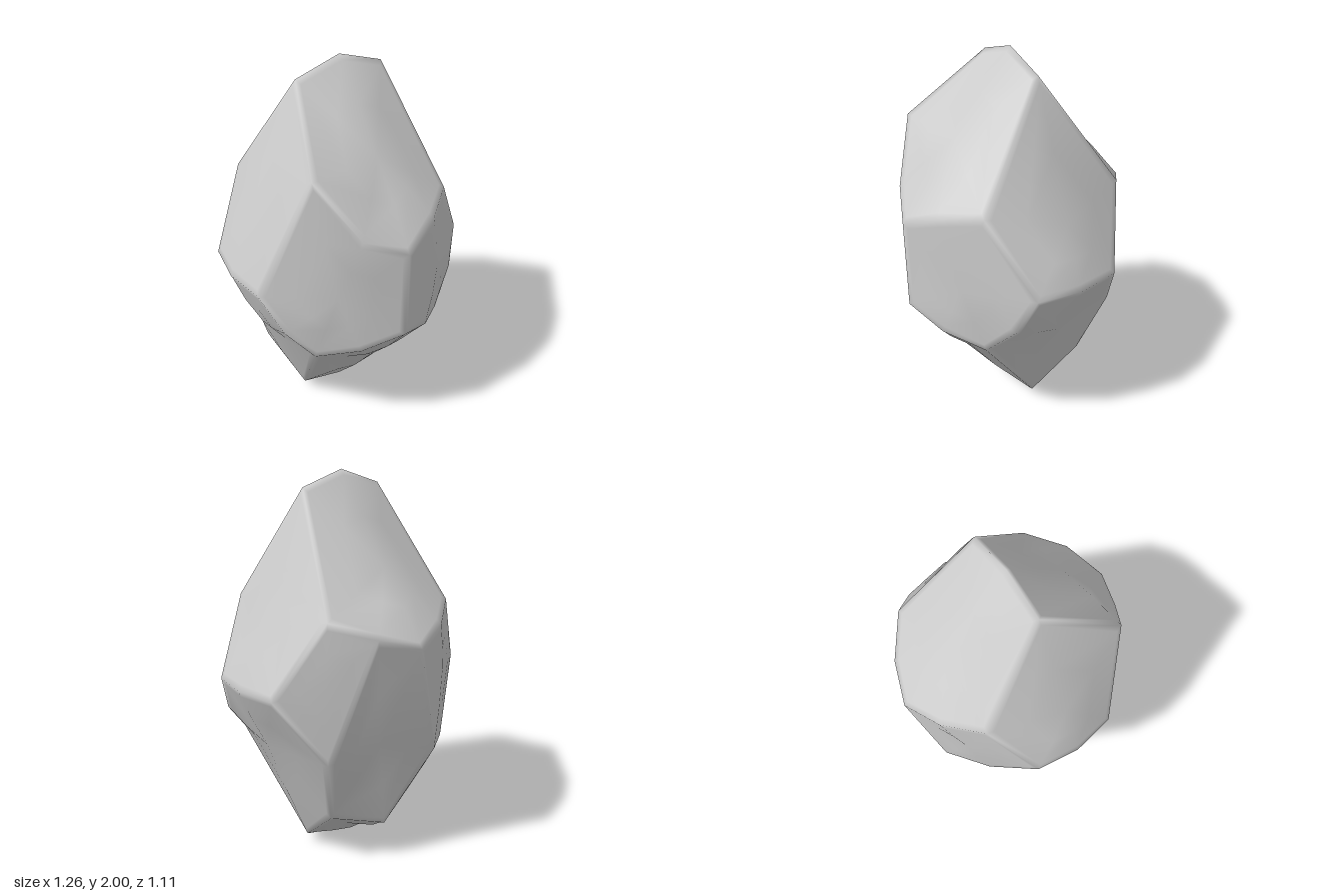
import * as THREE from 'three';

// Corners of a tall, chipped twelve-sided stone; x runs along its top ridge.
const corners = {
  // Top and bottom ridges, slightly peaked in the middle
  topMid: [0, 2, 0], topL: [-0.235, 1.925, 0], topR: [0.235, 1.925, 0],
  lowMid: [0, 0, 0], lowL: [-0.235, 0.05, 0], lowR: [0.235, 0.05, 0],

  // Belt edges at either end
  beltLF: [-0.6, 0.98, 0.225], beltL: [-0.635, 0.98, 0], beltLB: [-0.6, 0.98, -0.225],
  beltRF: [0.6, 0.98, 0.225], beltR: [0.635, 0.98, 0], beltRB: [0.595, 0.98, -0.23],
  hipL: [-0.515, 0.78, 0.325], hipR: [0.525, 0.78, 0.3],

  // Shoulders; the left front one stands higher
  shLF: [-0.375, 1.61, 0.375], shRF: [0.375, 1.36, 0.375],
  shLB: [-0.38, 1.36, -0.38], shRB: [0.38, 1.36, -0.38],

  // Lower shoulders
  footLF: [-0.38, 0.61, 0.38], footRF: [0.38, 0.61, 0.38],
  footLB: [-0.38, 0.61, -0.38], heelL: [-0.31, 0.22, -0.2],

  // Upright front edge and the bowed edges above and below it
  edgeTop: [0, 1.23, 0.61], edgeLow: [0, 0.75, 0.61],
  browL: [-0.2, 1.32, 0.525], browR: [0.2, 1.32, 0.525],
  chinL: [-0.2, 0.67, 0.525], chinR: [0.2, 0.67, 0.525],
  browBack: [-0.2, 1.29, -0.53],

  // Long chipped facet on the back
  chipTop: [0, 1.22, -0.61], chipTopR: [0.2, 1.28, -0.53],
  chipR: [0.38, 0.645, -0.38], chipLowR: [0.28, 0.28, -0.27],
  chipLow: [0.016, 0.215, -0.385], chipL: [-0.18, 0.64, -0.535],
};

// Facets as loops of corners, each with the height of its bulge
const facets = [
  ['topMid topL shLF browL edgeTop browR shRF topR', 0.03],
  ['topMid topR shRB chipTopR chipTop browBack shLB topL', 0.03],
  ['lowMid lowL footLF chinL edgeLow chinR footRF lowR', 0.035],
  ['lowMid lowR chipLowR chipLow heelL lowL', 0.04],
  ['edgeTop browL shLF beltLF hipL footLF chinL edgeLow', 0.02],
  ['edgeLow chinR footRF hipR beltRF shRF browR edgeTop', 0.025],
  ['topL shLB beltLB beltL beltLF shLF', 0.03],
  ['topR shRF beltRF beltR beltRB shRB', 0.03],
  ['lowL footLF hipL beltLF beltL beltLB footLB heelL', 0.035],
  ['lowR footRF hipR beltRF beltR beltRB chipR chipLowR', 0.025],
  ['shRB chipTopR chipR beltRB', 0.005],
  ['chipTop chipTopR chipR chipLowR chipLow chipL', 0.005],
  ['chipTop chipL footLB beltLB shLB browBack', 0.015],
  ['chipL chipLow heelL footLB', 0.005],
];

const CENTRE = new THREE.Vector3(0, 1, 0);
const RIM = 0.035;

// Each facet is a low dome with a narrow rim, so shading softens only at the edges.
function facetedStone() {
  const names = Object.keys(corners);
  const points = names.map((n) => new THREE.Vector3(...corners[n]));
  const index = [];

  for (const [facet, bulge] of facets) {
    let loop = facet.split(' ').map((n) => names.indexOf(n));
    const n = loop.length;
    const middle = new THREE.Vector3();
    loop.forEach((i) => middle.addScaledVector(points[i], 1 / n));

    // Turn the loop so that the facet faces outwards
    const normal = new THREE.Vector3();
    loop.forEach((i, k) => {
      const a = points[i].clone().sub(middle);
      const b = points[loop[(k + 1) % n]].clone().sub(middle);
      normal.add(a.cross(b));
    });
    normal.normalize();
    if (normal.dot(middle.clone().sub(CENTRE)) < 0) {
      loop.reverse();
      normal.negate();
    }

    // Rim, then a ring halfway up the dome, then its top
    const rim = loop.map((i) => {
      const inward = middle.clone().sub(points[i]).setLength(RIM);
      return points.push(inward.add(points[i]).addScaledVector(normal, bulge * 0.1)) - 1;
    });
    const ring = loop.map((i) => {
      const half = points[i].clone().lerp(middle, 0.5);
      return points.push(half.addScaledVector(normal, bulge * 0.75)) - 1;
    });
    const hub = points.push(middle.addScaledVector(normal, bulge)) - 1;

    for (let k = 0; k < n; k++) {
      const next = (k + 1) % n;
      for (const [outer, inner] of [[loop, rim], [rim, ring]]) {
        index.push(outer[k], outer[next], inner[next], outer[k], inner[next], inner[k]);
      }
      index.push(ring[k], ring[next], hub);
    }
  }

  const geometry = new THREE.BufferGeometry().setFromPoints(points);
  geometry.setIndex(index);
  geometry.computeVertexNormals();
  return geometry;
}

export function createModel() {
  const group = new THREE.Group();
  group.name = 'rock';

  const stone = new THREE.Mesh(facetedStone(), new THREE.MeshStandardMaterial({ color: 0xcccccc }));
  stone.name = 'stone';
  stone.rotation.y = 0.55;
  group.add(stone);
  return group;
}
